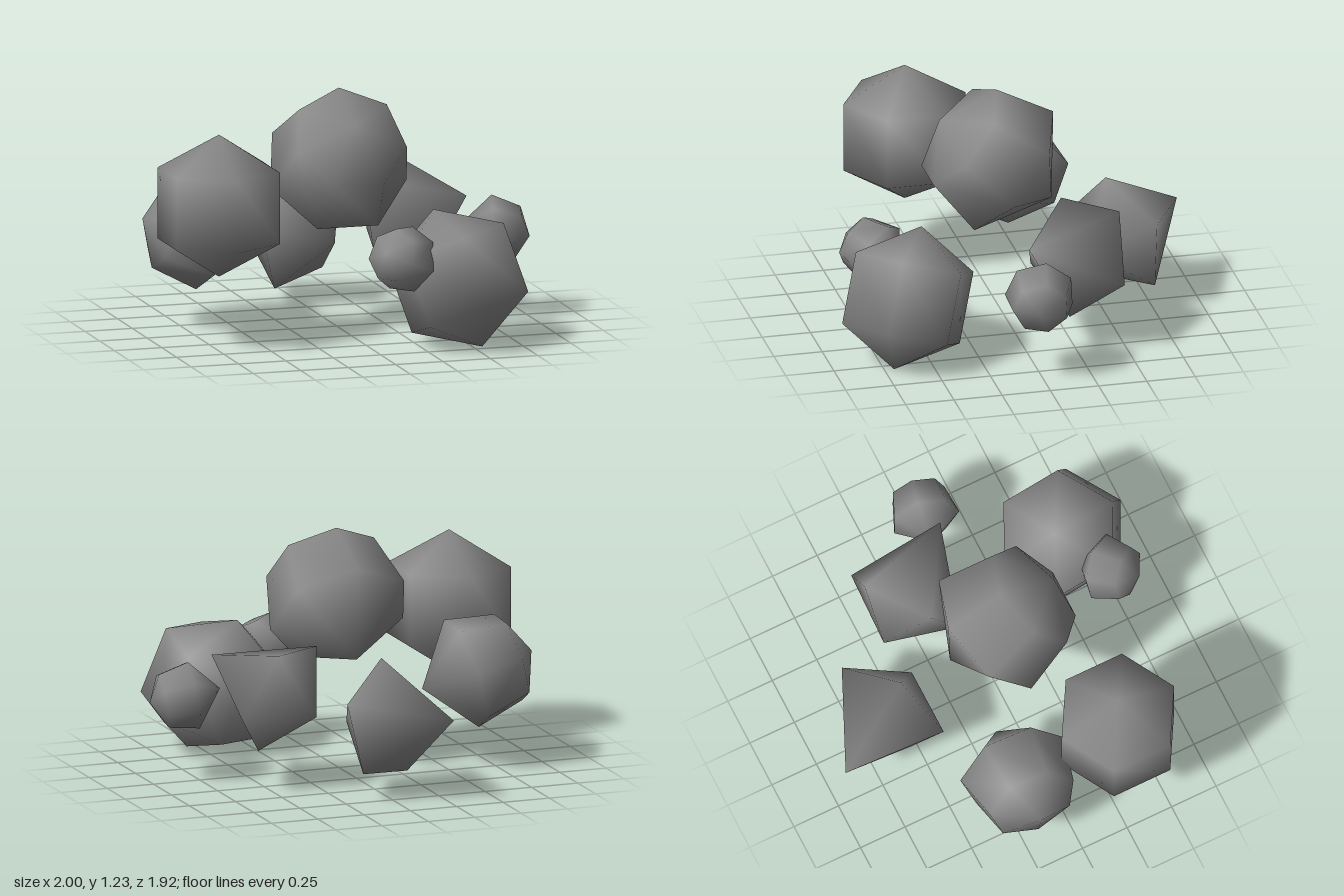
import * as THREE from 'three';

const stone = new THREE.MeshStandardMaterial({ color: 0x888888 });
stone.name = 'stone grey';

// Coarse ball with n sides; rings step by 1/n turn from the pole, the last band closes at the far pole.
function coarseBall(n, radius) {
  const rows = Math.floor(n / 2);
  const geo = new THREE.SphereGeometry(1, n, rows);
  const pos = geo.attributes.position;
  for (let i = 0; i < pos.count; i++) {
    const row = Math.floor(i / (n + 1));
    const phi = ((i % (n + 1)) / n) * Math.PI * 2;
    const theta = row === rows ? Math.PI : (row * Math.PI * 2) / n;
    const x = -Math.cos(phi) * Math.sin(theta);
    const y = Math.cos(theta);
    const z = Math.sin(phi) * Math.sin(theta);
    pos.setXYZ(i, x * radius, y * radius, z * radius);
    geo.attributes.normal.setXYZ(i, x, y, z);
  }
  return geo;
}

// pole: direction of the near pole; seam: direction of one ring corner.
function rock(name, n, radius, center, pole, seam) {
  const mesh = new THREE.Mesh(coarseBall(n, radius), stone);
  const yAxis = new THREE.Vector3(...pole).normalize();
  const xAxis = new THREE.Vector3(...seam).negate();
  xAxis.addScaledVector(yAxis, -xAxis.dot(yAxis)).normalize();
  const zAxis = new THREE.Vector3().crossVectors(xAxis, yAxis);
  mesh.quaternion.setFromRotationMatrix(new THREE.Matrix4().makeBasis(xAxis, yAxis, zAxis));
  mesh.position.set(...center);
  mesh.name = name;
  return mesh;
}

export function createModel() {
  const group = new THREE.Group();
  group.name = 'rockCluster';
  group.add(
    // large rocks
    rock('centreRock', 7, 0.378, [0, 0.86, 0.042], [0, 0.639, 0.769], [0, 1, 0]),
    rock('rightFrontRock', 6, 0.365, [-0.725, 0.735, 0.335], [0, 1, 0], [0, 0, 1]),
    rock('leftFrontRock', 6, 0.367, [0.45, 0.345, 0.605], [-0.272, 0.926, -0.259], [-0.055, 0.085, -0.355]),
    // angular rocks behind
    rock('backRock', 5, 0.335, [-0.067, 0.392, -0.683], [0.546, -0.144, 0.826], [0.047, 0.298, 0.153]),
    rock('leftBackRock', 5, 0.335, [0.489, 0.518, -0.22], [-0.555, -0.365, -0.747], [0.021, 0.212, -0.25]),
    rock('rightBackRock', 7, 0.3, [-0.67, 0.498, -0.195], [-0.96, 0.26, -0.05], [0.065, 0.05, -0.285]),
    // pebbles
    rock('leftPebble', 7, 0.182, [0.827, 0.447, 0.01], [0.97, -0.17, 0.2], [0.12, 0.12, 0]),
    rock('frontPebble', 7, 0.175, [0.13, 0.483, 0.708], [-0.7, 0.3, 0.6], [0, 1, 0])
  );
  return group;
}
